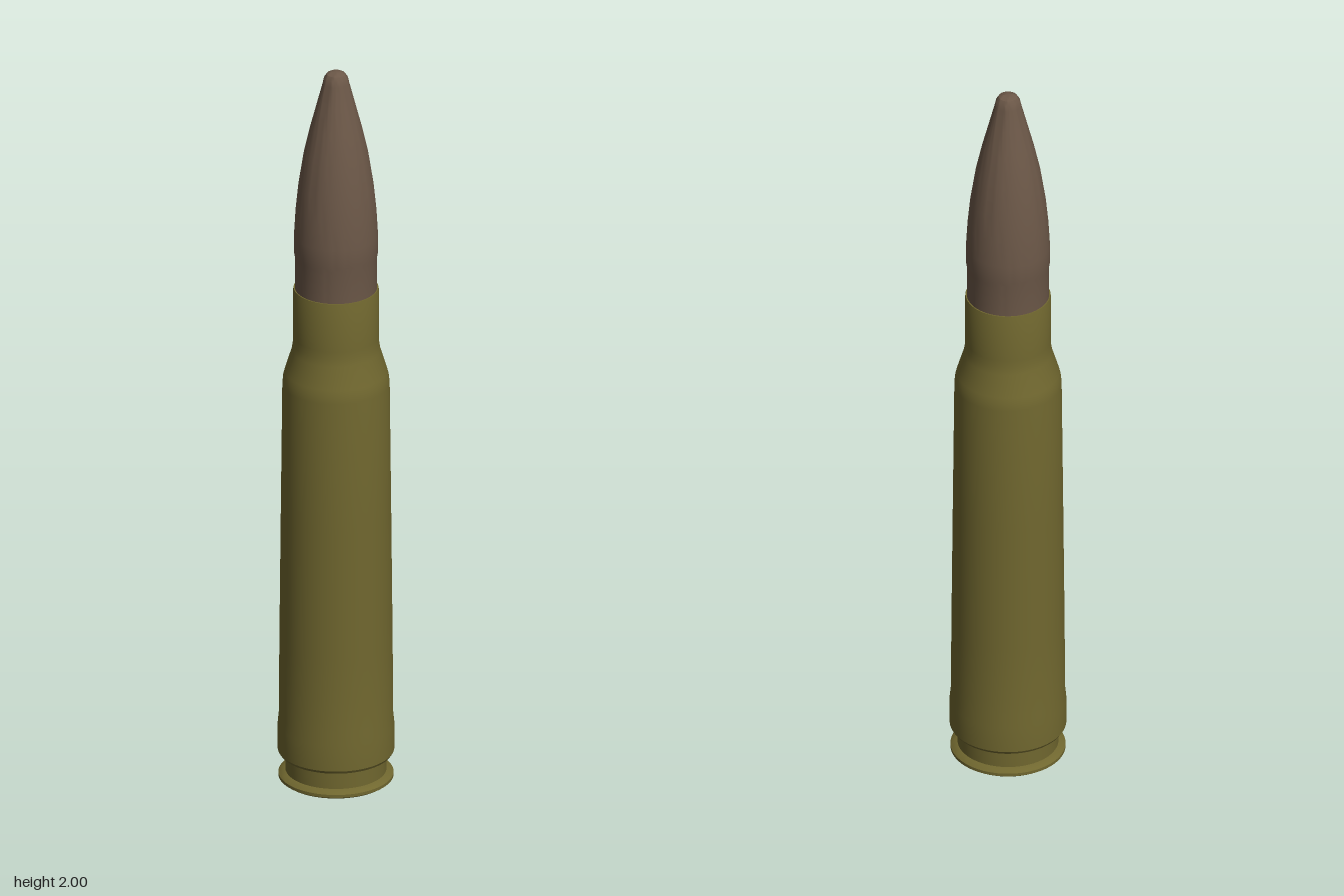
import * as THREE from 'three';
import { toCreasedNormals } from 'three/addons/utils/BufferGeometryUtils.js';

const SEGMENTS = 64;

// Turned part from a [radius, height] profile, listed bottom to top
function turned(name, profile, color) {
  const points = profile.map(([r, y]) => new THREE.Vector2(r, y));
  const geometry = toCreasedNormals(new THREE.LatheGeometry(points, SEGMENTS), 0.5);
  const mesh = new THREE.Mesh(geometry, new THREE.MeshStandardMaterial({ color }));
  mesh.name = name;
  return mesh;
}

export function createModel() {
  const group = new THREE.Group();
  group.name = 'cartridge';
  const brass = 0x70672f;
  const copper = 0x6c5848;

  // Base disc with a recessed ring for the primer, and the extractor rim
  group.add(turned('rim', [
    [0.03, 0.012], [0.035, 0.008], [0.141, 0.008], [0.148, 0.013],
    [0.148, 0.021], [0.143, 0.026], [0.13, 0.03],
  ], brass));

  // Small primer cap in the middle of the base
  group.add(turned('primer', [
    [0, 0], [0.023, 0], [0.028, 0.004], [0.03, 0.014],
  ], brass));

  // Extractor groove, tapered body, shoulder, neck and open mouth lip
  group.add(turned('case', [
    [0.13, 0.028], [0.13, 0.078], [0.145, 0.08], [0.15, 0.088],
    [0.15, 0.16], [0.147, 0.19], [0.1455, 0.4], [0.142, 0.75],
    [0.138, 1.12], [0.136, 1.14], [0.132, 1.156], [0.114, 1.215],
    [0.111, 1.235], [0.11, 1.255], [0.11, 1.386], [0.109, 1.39],
    [0.105, 1.39], [0.105, 1.36],
  ], brass));

  // Bullet with a curved ogive and a small rounded tip
  group.add(turned('bullet', [
    [0, 1.34], [0.106, 1.34], [0.106, 1.48], [0.108, 1.49],
    [0.108, 1.54], [0.104, 1.61], [0.097, 1.68], [0.083, 1.77],
    [0.066, 1.845], [0.049, 1.91], [0.034, 1.968], [0.031, 1.982],
    [0.024, 1.993], [0.013, 1.999], [0, 2],
  ], copper));

  return group;
}
